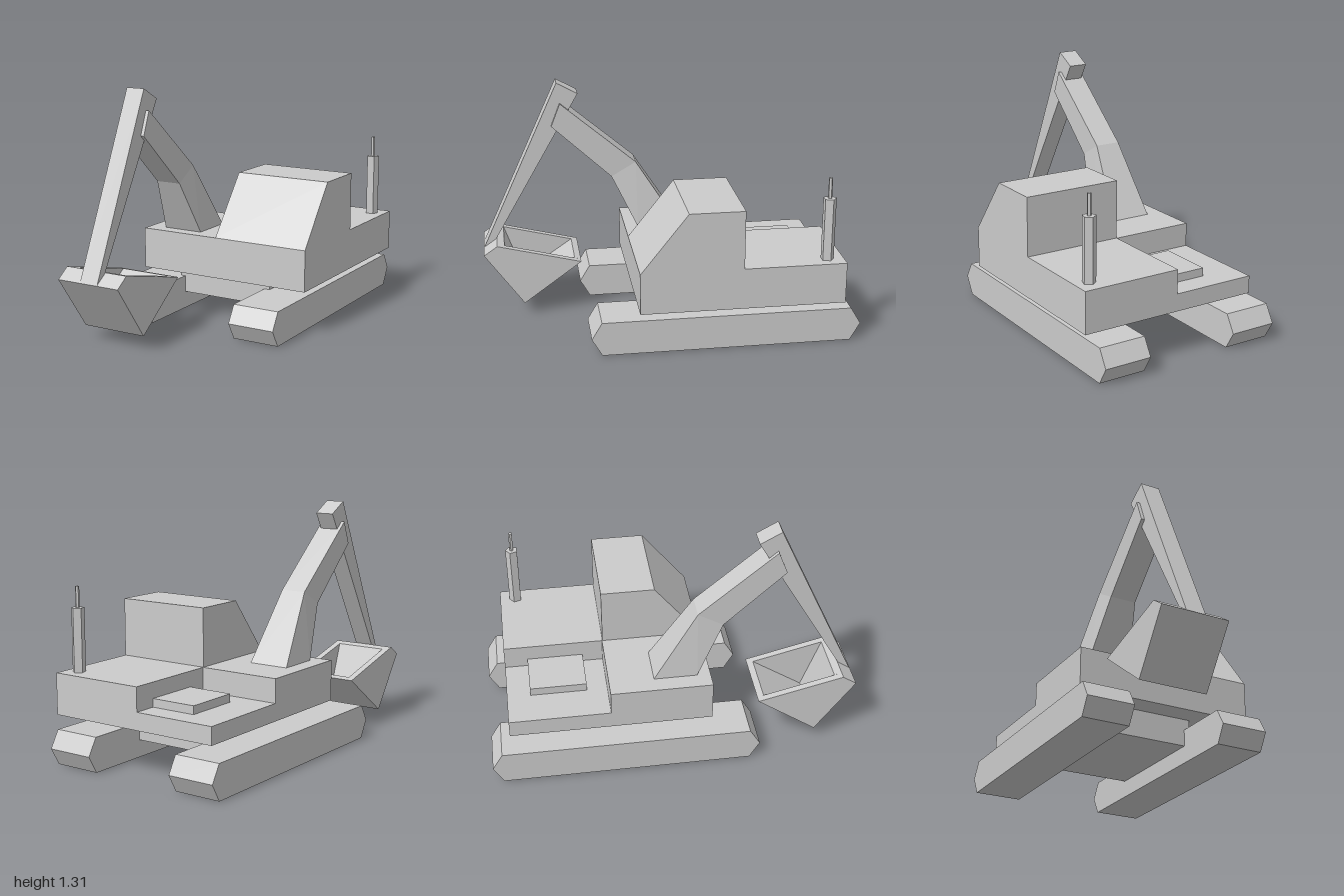
import * as THREE from 'three';

const material = new THREE.MeshStandardMaterial({ color: 0xcccccc, flatShading: true });

function mesh(name, geometry) {
  const m = new THREE.Mesh(geometry, material);
  m.name = name;
  return m;
}

// Side profile given as [z, y] points, extruded across x from x0 to x1
function profile(points, x0, x1) {
  const shape = new THREE.Shape(points.map(([z, y]) => new THREE.Vector2(z, y)));
  const g = new THREE.ExtrudeGeometry(shape, { depth: x1 - x0, bevelEnabled: false });
  return g.rotateY(-Math.PI / 2).translate(x1, 0, 0);
}

// Box given by its limits on each axis
function block(x0, x1, y0, y1, z0, z1) {
  return new THREE.BoxGeometry(x1 - x0, y1 - y0, z1 - z0)
    .translate((x0 + x1) / 2, (y0 + y1) / 2, (z0 + z1) / 2);
}

function fivesidedPost(radius, y0, y1) {
  return new THREE.CylinderGeometry(radius, radius, y1 - y0, 5)
    .rotateY(Math.PI).translate(0.467, (y0 + y1) / 2, -0.805);
}

export function createModel() {
  const model = new THREE.Group();
  model.name = 'excavator';

  // Tracks and the undercarriage between them
  const track = [[0.455, 0.095], [0.4, 0.187], [-0.945, 0.187], [-1, 0.095], [-0.945, 0], [0.4, 0]];
  model.add(mesh('rightTrack', profile(track, -0.545, -0.283)));
  model.add(mesh('leftTrack', profile(track, 0.232, 0.495)));
  model.add(mesh('undercarriage', block(-0.31, 0.263, 0.095, 0.25, -0.605, 0.07)));

  // Upper body: full-height left side, right side stepped down at the rear
  const body = new THREE.Group();
  body.name = 'body';
  body.add(mesh('leftBody', block(0, 0.545, 0.247, 0.472, -0.895, 0.203)));
  body.add(mesh('rightBody', block(-0.463, 0, 0.247, 0.472, -0.348, 0.203)));
  body.add(mesh('rearDeck', block(-0.463, 0, 0.247, 0.342, -0.895, -0.348)));
  body.add(mesh('hatch', block(-0.258, 0, 0.342, 0.387, -0.768, -0.46)));
  model.add(body);

  // Cab with sloping front
  model.add(mesh('cab', profile(
    [[0.203, 0.472], [-0.05, 0.792], [-0.345, 0.792], [-0.345, 0.472]], 0, 0.545)));

  // Exhaust
  model.add(mesh('exhaustStack', fivesidedPost(0.036, 0.472, 0.813)));
  model.add(mesh('exhaustPipe', fivesidedPost(0.011, 0.813, 0.925)));

  // Boom: straight upper half, lower half flaring towards the foot
  const boom = new THREE.Group();
  boom.name = 'boom';
  const centre = -0.255;
  const lower = profile([[0.13, 0.472], [0.272, 0.765], [0.135, 0.845], [-0.105, 0.472]],
    centre - 0.072, centre + 0.072);
  const p = lower.attributes.position;
  for (let i = 0; i < p.count; i++) {
    if (p.getY(i) < 0.5) p.setX(i, centre + Math.sign(p.getX(i) - centre) * 0.115);
  }
  lower.computeVertexNormals();
  boom.add(mesh('boomFoot', lower));
  boom.add(mesh('boomArm', profile(
    [[0.272, 0.765], [0.6, 1.068], [0.55, 1.195], [0.135, 0.845]],
    centre - 0.072, centre + 0.072)));
  model.add(boom);

  // Stick
  model.add(mesh('stick', profile(
    [[0.998, 0.368], [0.565, 1.308], [0.45, 1.245], [0.928, 0.42]],
    centre - 0.053, centre + 0.053)));

  // Bucket: two side plates around a V-shaped hollow
  const bucket = new THREE.Group();
  bucket.name = 'bucket';
  const side = [[1, 0.37], [0.925, 0.422], [0.46, 0.305], [0.785, 0.07]];
  const shell = [[1, 0.37], [0.925, 0.422], [0.885, 0.412], [0.78, 0.12],
    [0.495, 0.314], [0.46, 0.305], [0.785, 0.07]];
  bucket.add(mesh('bucketRightSide', profile(side, -0.443, -0.405)));
  bucket.add(mesh('bucketShell', profile(shell, -0.405, -0.112)));
  bucket.add(mesh('bucketLeftSide', profile(side, -0.112, -0.074)));
  model.add(bucket);

  return model;
}
